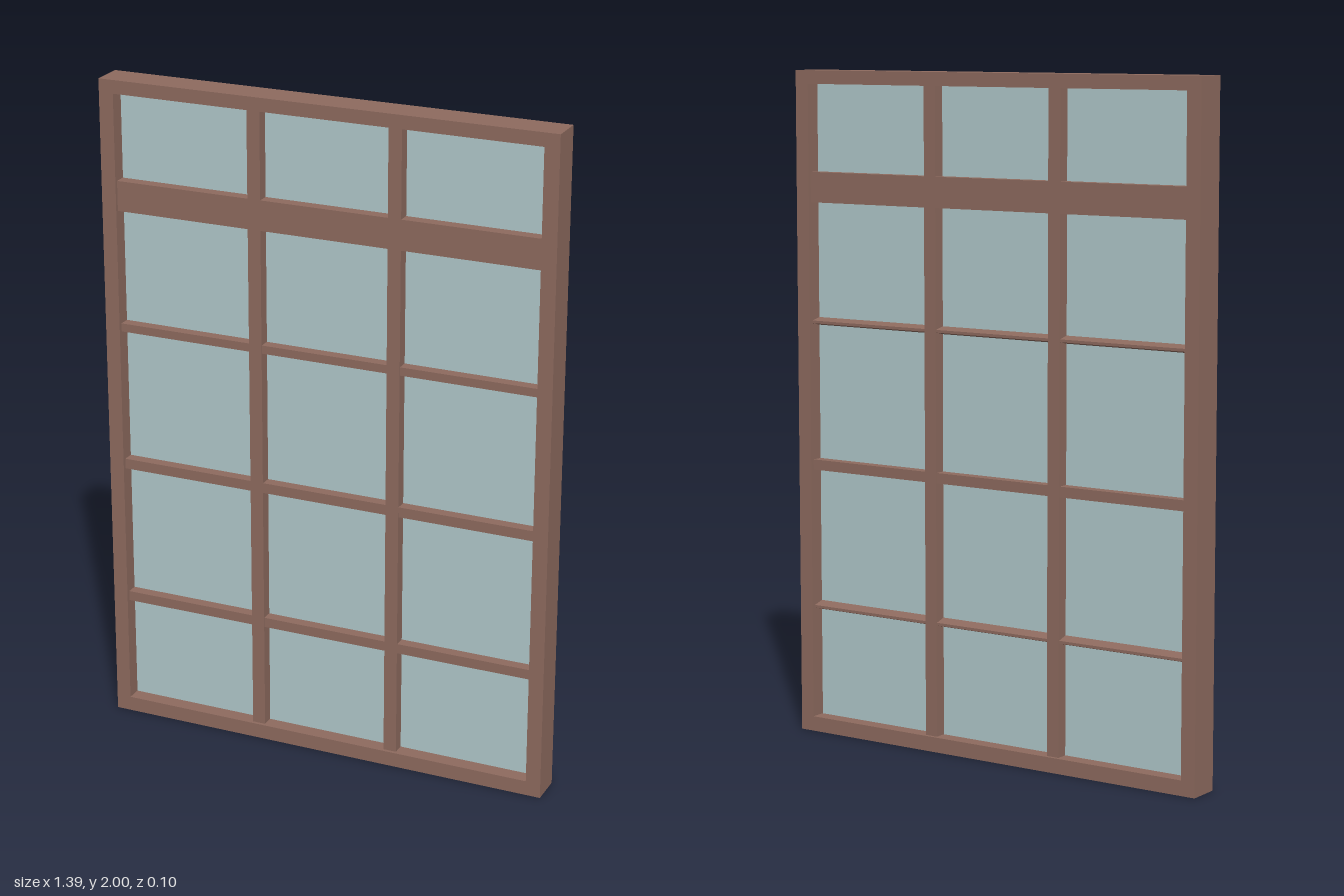
import * as THREE from 'three';

export function createModel() {
  const model = new THREE.Group();
  model.name = 'window';
  const wood = new THREE.MeshStandardMaterial({ color: 0x8d6a5e });
  wood.name = 'brown wood';
  const glass = new THREE.MeshStandardMaterial({ color: 0xafc7c9 });
  glass.name = 'pale blue glass';

  const add = (name, geometry, material) => {
    const mesh = new THREE.Mesh(geometry, material);
    mesh.name = name;
    model.add(mesh);
    return mesh;
  };
  // Box given by its x and y limits, centred on z = 0
  const slab = (name, x0, x1, y0, y1, depth, material = wood) => {
    const mesh = add(name, new THREE.BoxGeometry(x1 - x0, y1 - y0, depth), material);
    mesh.position.set((x0 + x1) / 2, (y0 + y1) / 2, 0);
  };

  // Outer frame, one piece with a rectangular opening
  const W = 0.695, IN = 0.65, BOTTOM = 0.045, TOP = 1.96;
  const outline = new THREE.Shape([
    new THREE.Vector2(-W, 0), new THREE.Vector2(W, 0),
    new THREE.Vector2(W, 2), new THREE.Vector2(-W, 2),
  ]);
  outline.holes.push(new THREE.Path([
    new THREE.Vector2(-IN, BOTTOM), new THREE.Vector2(-IN, TOP),
    new THREE.Vector2(IN, TOP), new THREE.Vector2(IN, BOTTOM),
  ]));
  const frame = new THREE.ExtrudeGeometry(outline, { depth: 0.1, bevelEnabled: false });
  frame.translate(0, 0, -0.05);
  add('outerFrame', frame, wood);

  // Heavy transom, with mullions above and below it
  slab('transom', -IN, IN, 1.61, 1.7, 0.08);
  const MULLION = 0.215, HALF = 0.02;
  for (const side of [-1, 1]) {
    const x = side * MULLION;
    slab('lowerMullion', x - HALF, x + HALF, BOTTOM, 1.61, 0.08);
    slab('upperMullion', x - HALF, x + HALF, 1.7, TOP, 0.08);
  }

  // Glazing bars between the mullions; two rows taper towards the back
  const bays = [
    [-IN, -MULLION - HALF], [-MULLION + HALF, MULLION - HALF], [MULLION + HALF, IN],
  ];
  const taperedBar = (x0, x1, y0, y1) => {
    const mid = (y0 + y1) / 2, nose = 0.004;
    const section = new THREE.Shape([
      new THREE.Vector2(-0.038, y0), new THREE.Vector2(0, y0),
      new THREE.Vector2(0.038, mid - nose), new THREE.Vector2(0.038, mid + nose),
      new THREE.Vector2(0, y1), new THREE.Vector2(-0.038, y1),
    ]);
    const bar = new THREE.ExtrudeGeometry(section, { depth: x1 - x0, bevelEnabled: false });
    bar.rotateY(Math.PI / 2);
    bar.translate(x0, 0, 0);
    add('taperedGlazingBar', bar, wood);
  };
  for (const [x0, x1] of bays) {
    taperedBar(x0, x1, 1.24, 1.265);
    slab('glazingBar', x0, x1, 0.805, 0.836, 0.076);
    taperedBar(x0, x1, 0.37, 0.4);
  }

  // Glass sheet in the middle of the frame
  slab('glass', -IN, IN, BOTTOM, TOP, 0.008, glass);
  return model;
}
